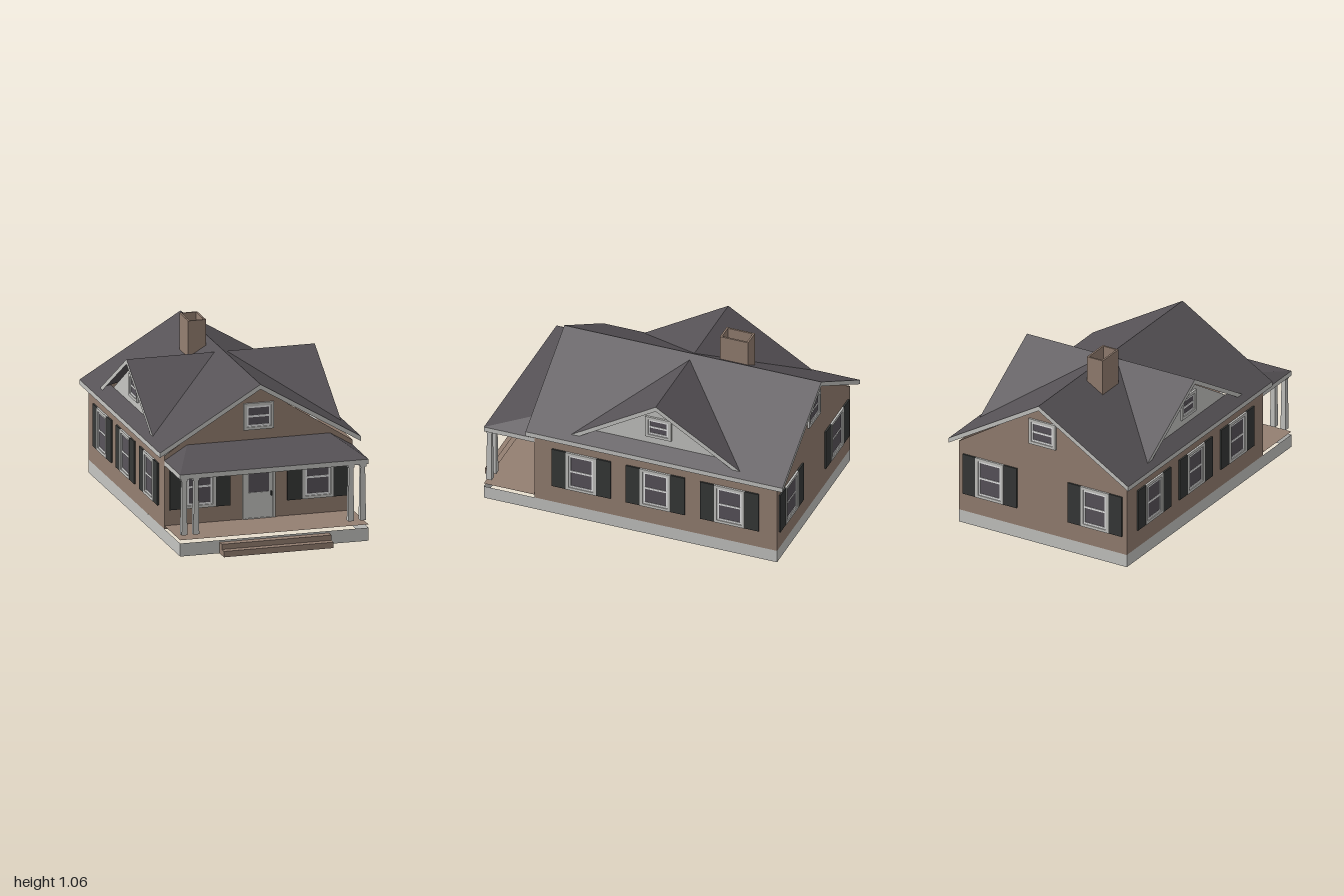
import * as THREE from 'three';

const mat = (name, color, side = THREE.DoubleSide) => {
  const m = new THREE.MeshStandardMaterial({ color, side });
  m.name = name;
  return m;
};

export function createModel() {
  const house = new THREE.Group();
  house.name = 'house';
  const brown = mat('brown siding', 0x947f71);
  const grey = mat('light grey trim', 0xc4c4c1);
  const slate = mat('dark slate roofing', 0x565256);
  const black = mat('charcoal shutters', 0x363837);
  const white = mat('white sash', 0xffffff);
  const glass = mat('dark glass', 0x58535a, THREE.FrontSide);

  const HX = 0.58, MID = -0.18, RIDGE = 0.93, SLOPE = 0.597, LIP = 0.03;
  const roofY = (x) => RIDGE - SLOPE * Math.abs(x);

  const add = (parent, name, geo, m, x = 0, y = 0, z = 0) => {
    const mesh = new THREE.Mesh(geo, m);
    mesh.name = name;
    mesh.position.set(x, y, z);
    parent.add(mesh);
    return mesh;
  };
  const box = (parent, name, m, w, h, d, x, y, z) =>
    add(parent, name, new THREE.BoxGeometry(w, h, d), m, x, y, z);

  // flat polygon through 3D corners
  const face = (parent, name, m, ...pts) => {
    const tri = [];
    for (let i = 1; i < pts.length - 1; i++) tri.push(...pts[0], ...pts[i], ...pts[i + 1]);
    const g = new THREE.BufferGeometry();
    g.setAttribute('position', new THREE.Float32BufferAttribute(tri, 3));
    g.computeVertexNormals();
    return add(parent, name, g, m);
  };
  // upright board hanging below the line a-b
  const fascia = (parent, name, a, b) =>
    face(parent, name, grey, a, b, [b[0], b[1] - LIP, b[2]], [a[0], a[1] - LIP, a[2]]);

  const poly = (pts) => new THREE.Shape(pts.map((p) => new THREE.Vector2(...p)));
  const rect = (x, y, w, h) => poly([
    [x - w / 2, y - h / 2], [x + w / 2, y - h / 2], [x + w / 2, y + h / 2], [x - w / 2, y + h / 2]]);
  const plate = (shape, holes, depth) => {
    shape.holes.push(...holes);
    return depth ? new THREE.ExtrudeGeometry(shape, { depth, bevelEnabled: false })
      : new THREE.ShapeGeometry(shape);
  };

  // sash window facing +z, optionally with shutters
  const TRIM = 0.018, BAR = 0.012;
  const addWindow = (wall, x, y, w, h, shutters) => {
    const g = new THREE.Group();
    g.name = 'window';
    g.position.set(x, y, 0);
    wall.add(g);
    const iw = w - 2 * TRIM, ih = h - 2 * TRIM;
    const pw = iw - 2 * BAR, ph = (ih - 3 * BAR) / 2, py = (ph + BAR) / 2;
    add(g, 'windowTrim', plate(rect(0, 0, w, h), [rect(0, 0, iw, ih)], 0.012), grey);
    add(g, 'windowSash',
      plate(rect(0, 0, iw, ih), [rect(0, py, pw, ph), rect(0, -py, pw, ph)], 0.006), white);
    for (const s of [1, -1]) {
      add(g, 'windowPane', new THREE.PlaneGeometry(pw, ph), glass, 0, s * py, 0.003);
      if (shutters) box(g, 'shutter', black, 0.09, h, 0.01, s * (w / 2 + 0.045), 0, 0.005);
    }
  };

  // wall panel cut for its windows; each window is [x, y, w, h, shutters]
  const addWall = (name, m, outline, windows, pos, turn) => {
    const g = new THREE.Group();
    g.name = name;
    g.position.set(...pos);
    g.rotation.y = turn;
    house.add(g);
    const holes = windows.map(([x, y, w, h]) => rect(x, y, w - 2 * TRIM, h - 2 * TRIM));
    add(g, name + 'Panel', plate(poly(outline), holes), m);
    windows.forEach((w) => addWindow(g, ...w));
    return g;
  };

  // main walls
  const big = (x) => [x, 0.325, 0.193, 0.26, true];
  const gable = [[-HX, 0.08], [HX, 0.08], [HX, 0.53], [0, 0.902], [-HX, 0.53]];
  const gableWindows = [big(-0.363), big(0.363), [0, 0.728, 0.186, 0.163, false]];
  const front = addWall('frontWall', brown, gable, gableWindows, [0, 0, 0.59], 0);
  addWall('backWall', brown, gable, gableWindows, [0, 0, -0.95], Math.PI);
  const side = [[-0.77, 0.08], [0.77, 0.08], [0.77, 0.53], [-0.77, 0.53]];
  for (const s of [1, -1]) {
    addWall(s > 0 ? 'leftWall' : 'rightWall', brown, side, [-0.47, 0, 0.47].map(big),
      [s * HX, 0, MID], s * Math.PI / 2);
  }

  // front door
  add(front, 'doorTrim', plate(rect(0, 0.277, 0.2, 0.353), [rect(0, 0.272, 0.168, 0.335)], 0.012), grey);
  add(front, 'door', plate(rect(0, 0.272, 0.168, 0.335), [rect(0, 0.34, 0.128, 0.16)], 0.006), grey);
  add(front, 'doorPane', new THREE.PlaneGeometry(0.128, 0.16), glass, 0, 0.34, 0.003);
  box(front, 'doorHandle', black, 0.008, 0.025, 0.015, 0.076, 0.25, 0.013);

  // hollow foundation
  const zF = 0.91, zB = -0.95;
  for (const s of [1, -1]) {
    face(house, 'foundationSide', grey, [s * HX, 0, zF], [s * HX, 0, zB], [s * HX, 0.08, zB], [s * HX, 0.08, zF]);
  }
  for (const z of [zF, zB]) {
    face(house, 'foundationEnd', grey, [-HX, 0, z], [HX, 0, z], [HX, 0.08, z], [-HX, 0.08, z]);
  }

  // porch floor and steps
  face(house, 'porchFloor', brown, [-HX, 0.1, zF], [HX, 0.1, zF], [HX, 0.1, 0.59], [-HX, 0.1, 0.59]);
  box(house, 'lowerStep', brown, 0.675, 0.036, 0.09, 0, 0.018, 0.955);
  box(house, 'upperStep', brown, 0.675, 0.032, 0.047, 0, 0.052, 0.9335);

  // porch roof with hipped ends
  const eave = 0.5, top = 0.585;
  face(house, 'porchRoof', slate, [-HX, eave, zF], [HX, eave, zF], [0.44, top, 0.59], [-0.44, top, 0.59]);
  fascia(house, 'porchFrontFascia', [-HX, eave, zF], [HX, eave, zF]);

  for (const s of [1, -1]) {
    face(house, 'porchRoofHip', slate, [s * HX, eave, zF], [s * HX, eave, 0.59], [s * 0.44, top, 0.59]);
    fascia(house, 'porchSideFascia', [s * HX, eave, zF], [s * HX, eave, 0.59]);
    // paired tapered porch posts
    for (const x of [0.55, 0.477]) {
      const post = new THREE.CylinderGeometry(0.019, 0.025, 0.33, 4);
      post.rotateY(Math.PI / 4);
      add(house, 'porchPost', post.toNonIndexed(), grey, s * x, 0.29, 0.883).geometry.computeVertexNormals();
      box(house, 'postCap', grey, 0.038, 0.015, 0.038, s * x, 0.4625, 0.883);
    }

    // main roof slope, opened beneath the dormer
    const zR = 0.63, ex = 0.62;
    const hole = poly([[s * 0.53, MID - 0.485], [s * 0.53, MID + 0.485], [s * 0.04, MID]]);
    const slope = plate(poly([[0, -1], [s * ex, -1], [s * ex, zR], [0, zR]]), [hole]);
    const p = slope.attributes.position;
    for (let i = 0; i < p.count; i++) {
      const x = p.getX(i), z = p.getY(i);
      p.setXYZ(i, x, roofY(x), z);
    }
    // turn the faces upward
    const idx = slope.index.array;
    for (let i = 0; i < idx.length; i += 3) [idx[i], idx[i + 1]] = [idx[i + 1], idx[i]];
    slope.computeVertexNormals();
    add(house, 'mainRoof', slope, slate);
    fascia(house, 'eaveFascia', [s * ex, roofY(ex), zR], [s * ex, roofY(ex), -1]);
    for (const z of [zR, -1]) fascia(house, 'rakeBoard', [0, RIDGE, z], [s * ex, roofY(ex), z]);

    // dormer roof, rakes and gable wall
    const peak = [s * HX, 0.908, MID];
    for (const t of [1, -1]) {
      const foot = [s * HX, roofY(HX), MID + t * 0.535];
      face(house, 'dormerRoof', slate, peak, [s * 0.037, 0.908, MID], foot);
      fascia(house, 'dormerRake', peak, foot);
    }
    addWall('dormerWall', grey, [[-0.43, 0.61], [0.43, 0.61], [0, 0.88]],
      [[0, 0.73, 0.165, 0.14, false]], [s * 0.53, 0, MID], s * Math.PI / 2);
  }

  // hollow chimney
  const flue = plate(rect(0, 0, 0.11, 0.18), [rect(0, 0, 0.088, 0.158)], 0.233);
  flue.rotateX(-Math.PI / 2);
  add(house, 'chimney', flue, brown, -0.096, 0.83, -0.43);

  return house;
}
